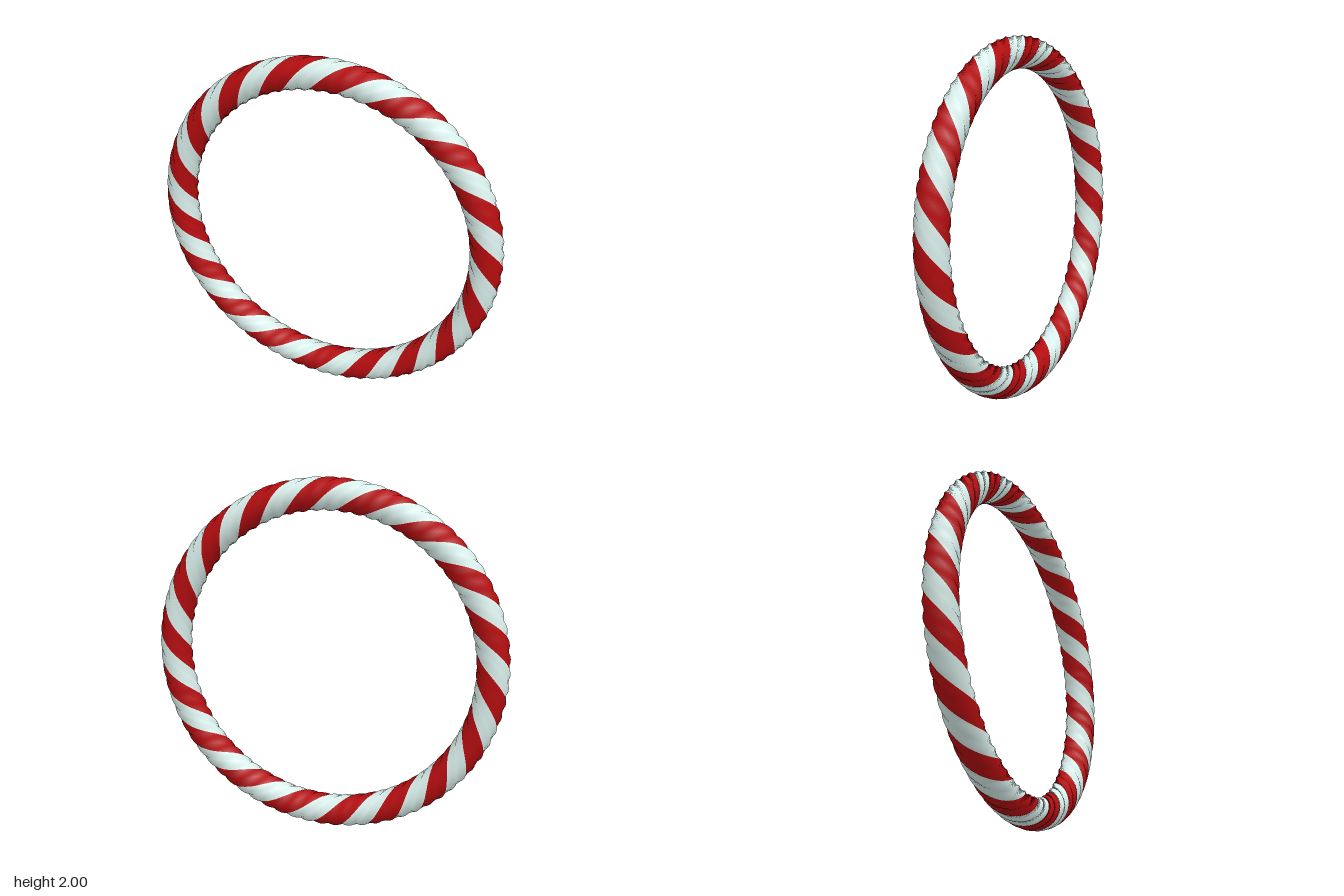
import * as THREE from 'three';

const RING = 0.91;     // radius of the ring's centre line
const TUBE = 0.09;     // radius of the twisted tube
const TWISTS = 9;      // full turns of the cross-section around the ring
const STEPS = 360;     // steps around the ring
const SIDES = 2;       // flat sides of the octagonal section per stripe

// One band of the twisted tube, covering a quarter of its cross-section
function stripeGeometry(start) {
  const positions = [], normals = [], indices = [];
  for (let i = 0; i <= STEPS; i++) {
    const u = (i / STEPS) * Math.PI * 2;
    for (let j = 0; j <= SIDES; j++) {
      const v = start + (j / SIDES) * (Math.PI / 2) + TWISTS * u;
      const out = RING + TUBE * Math.cos(v);
      positions.push(out * Math.cos(u), out * Math.sin(u), TUBE * Math.sin(v));
      normals.push(Math.cos(v) * Math.cos(u), Math.cos(v) * Math.sin(u), Math.sin(v));
    }
  }
  const row = SIDES + 1;
  for (let i = 0; i < STEPS; i++) {
    for (let j = 0; j < SIDES; j++) {
      const a = i * row + j, b = a + row;
      indices.push(a, b, b + 1, a, b + 1, a + 1);
    }
  }
  const geometry = new THREE.BufferGeometry();
  geometry.setAttribute('position', new THREE.Float32BufferAttribute(positions, 3));
  geometry.setAttribute('normal', new THREE.Float32BufferAttribute(normals, 3));
  geometry.setIndex(indices);
  return geometry;
}

export function createModel() {
  const model = new THREE.Group();
  model.name = 'stripedRing';
  const red = new THREE.MeshStandardMaterial({ color: 0xb50d10 });
  const white = new THREE.MeshStandardMaterial({ color: 0xdcf2ee });

  // Four interlocking helical stripes, alternating red and white
  for (let k = 0; k < 4; k++) {
    const isRed = k % 2 === 0;
    const stripe = new THREE.Mesh(stripeGeometry(k * Math.PI / 2), isRed ? red : white);
    stripe.name = isRed ? 'redStripe' : 'whiteStripe';
    stripe.position.y = 1;
    model.add(stripe);
  }
  return model;
}
